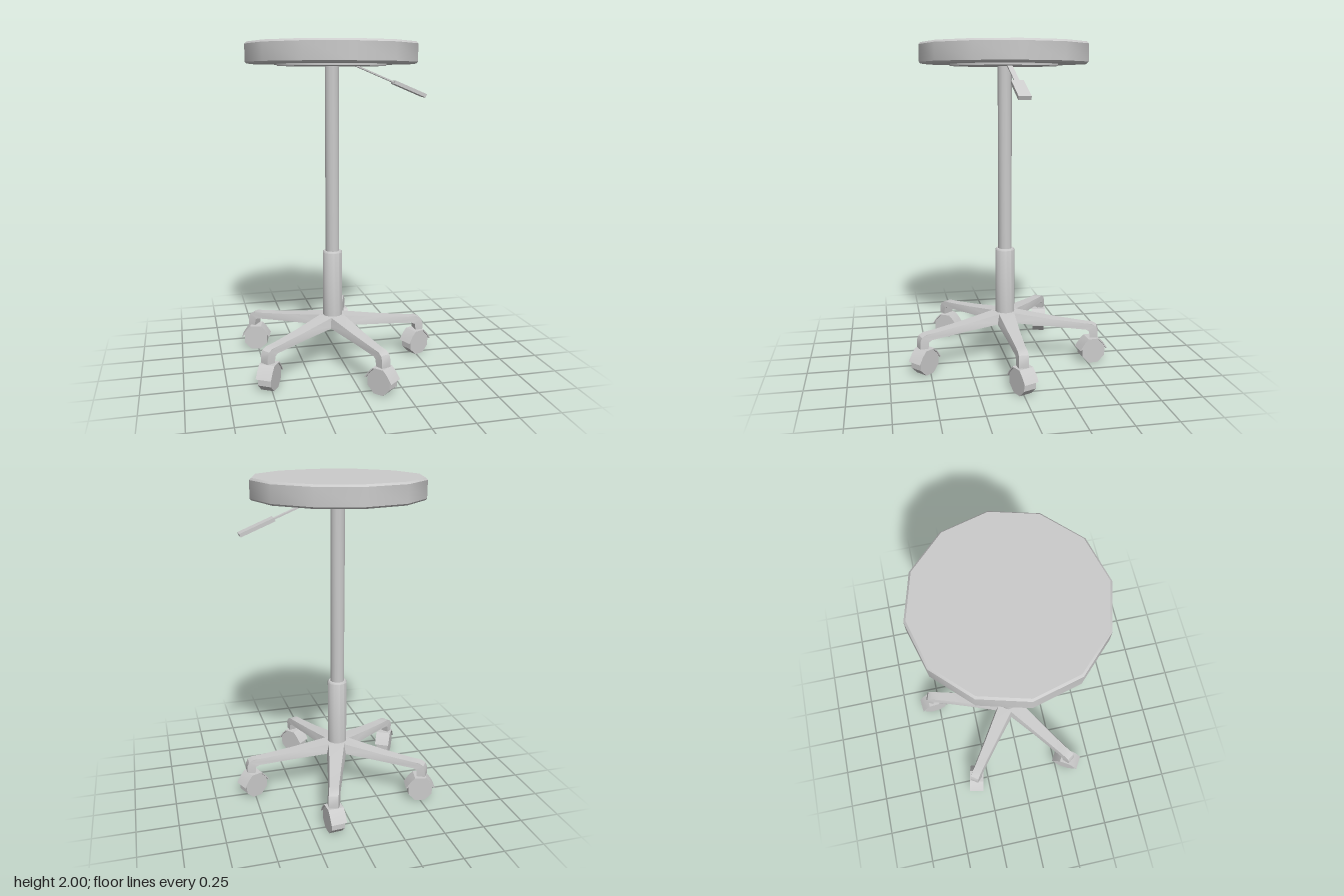
import * as THREE from 'three';
import { toCreasedNormals } from 'three/addons/utils/BufferGeometryUtils.js';

const AXIS_X = -0.055;
const material = new THREE.MeshStandardMaterial({ color: 0xcccccc });
const thinMaterial = new THREE.MeshStandardMaterial({ color: 0xcccccc, side: THREE.DoubleSide });

function part(name, geometry, parent, mat = material) {
  const mesh = new THREE.Mesh(toCreasedNormals(geometry, 0.6), mat);
  mesh.name = name;
  parent.add(mesh);
  return mesh;
}

// Turned part from [radius, height] pairs, bottom to top
function turned(profile, sides = 12) {
  return new THREE.LatheGeometry(profile.map(([r, y]) => new THREE.Vector2(r, y)), sides);
}

// Solid from a side profile, centred across its depth
function slab(points, depth) {
  const shape = new THREE.Shape(points.map(([x, y]) => new THREE.Vector2(x, y)));
  const geometry = new THREE.ExtrudeGeometry(shape, { depth, bevelEnabled: false });
  return geometry.translate(0, 0, -depth / 2);
}

// Leg: side profile with a turned-down end, tapering in width outward and upward
function legGeometry() {
  const top = [[0, 0.312], [0.06, 0.31], [0.3, 0.277], [0.5, 0.256], [0.56, 0.252], [0.588, 0.238], [0.6, 0.21], [0.6, 0.165]];
  const under = [[0.55, 0.165], [0.545, 0.205], [0.525, 0.216], [0.3, 0.232], [0.06, 0.248], [0, 0.25]];
  const geometry = slab([...top, ...under], 1);
  const p = geometry.attributes.position;
  for (let i = 0; i < p.count; i++) {
    const x = p.getX(i), y = p.getY(i);
    let width = THREE.MathUtils.lerp(0.135, 0.074, Math.min(x / 0.45, 1));
    const onTop = top.some(([tx, ty]) => Math.abs(tx - x) + Math.abs(ty - y) < 1e-4);
    if (onTop) width *= 0.78;
    p.setZ(i, p.getZ(i) * width);
  }
  geometry.computeVertexNormals();
  return geometry;
}

function createCaster() {
  const caster = new THREE.Group();
  caster.name = 'caster';

  // Eight-sided wheel with a flat side on the floor
  const wheel = new THREE.CylinderGeometry(0.081, 0.081, 0.082, 8);
  wheel.rotateY(Math.PI / 8).rotateX(Math.PI / 2).translate(0, 0.075, 0);
  part('wheel', wheel, caster);

  // Thin hood over the upper half of the wheel
  const outer = [[0.092, 0.088], [0.064, 0.13], [0.036, 0.159]];
  const inner = [[0.084, 0.088], [0.059, 0.125], [0.033, 0.152]];
  const mirror = (pts) => pts.map(([x, y]) => [-x, y]).reverse();
  part('casterHood', slab([...outer, ...mirror(outer), ...mirror(inner).reverse(), ...inner.slice().reverse()], 0.096), caster, thinMaterial);
  return caster;
}

export function createModel() {
  const stool = new THREE.Group();
  stool.name = 'stool';
  const body = new THREE.Group();
  body.name = 'body';
  body.position.x = AXIS_X;
  stool.add(body);

  // Seat cushion and the plate beneath it
  part('seat', turned([[0, 1.875], [0.51, 1.875], [0.52, 1.885], [0.52, 1.988], [0.508, 2], [0, 2]]), body);
  part('seatPlate', turned([[0, 1.863], [0.333, 1.863], [0.333, 1.877], [0, 1.877]]), body);

  // Gas column and its sleeve
  part('column', turned([[0.044, 0.7], [0.044, 1.87]]), body);
  part('columnSleeve', turned([[0, 0.27], [0.062, 0.27], [0.062, 0.718], [0.055, 0.728], [0, 0.728]]), body);

  // Height lever sloping down to the left side
  const lever = new THREE.Group();
  lever.name = 'heightLever';
  lever.position.set(0.145, 1.866, 0);
  lever.rotation.z = -0.39;
  body.add(lever);
  part('leverRod', new THREE.BoxGeometry(0.27, 0.009, 0.03).translate(0.125, 0, 0), lever);
  part('leverHandle', new THREE.BoxGeometry(0.22, 0.022, 0.072).translate(0.37, 0, 0), lever);

  // Five legs, each with a swivelled caster
  const leg = legGeometry();
  for (let i = 0; i < 5; i++) {
    const arm = new THREE.Group();
    arm.name = 'legAssembly';
    arm.rotation.y = (i * Math.PI * 2) / 5;
    body.add(arm);
    part('leg', leg, arm);
    part('casterStem', new THREE.CylinderGeometry(0.017, 0.017, 0.04, 8).translate(0.573, 0.155, 0), arm);
    const caster = createCaster();
    caster.position.x = 0.56;
    caster.rotation.y = 0.4;
    arm.add(caster);
  }
  return stool;
}
